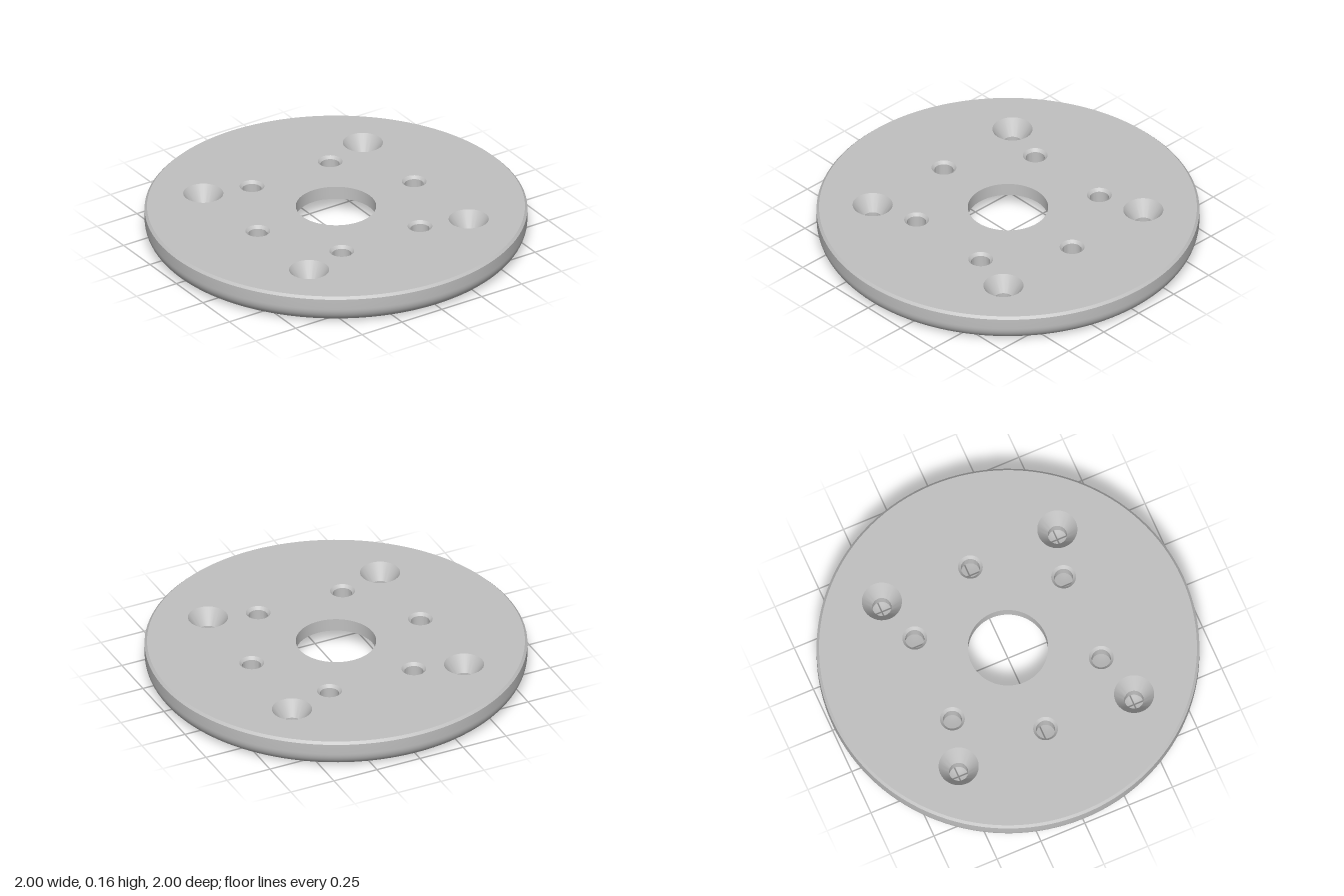
import * as THREE from 'three';
import { mergeGeometries, toCreasedNormals } from 'three/addons/utils/BufferGeometryUtils.js';

const HEIGHT = 0.16;
const RIM = 128; // segments of the big circles
const HOLE = 40; // segments of the small holes

// Regular polygon path with the same vertex order as a lathe
function polygon(radius, sides, [cx, cz] = [0, 0]) {
  const points = [];
  for (let i = 0; i < sides; i++) {
    const a = (i / sides) * Math.PI * 2;
    points.push(new THREE.Vector2(cx + radius * Math.sin(a), cz + radius * Math.cos(a)));
  }
  return points;
}

// Flat face with holes, facing up or down at height y
function plate(outline, holes, y, up) {
  const shape = new THREE.Shape(outline);
  shape.holes = holes.map((h) => new THREE.Path(h));
  return new THREE.ShapeGeometry(shape).rotateX(up ? -Math.PI / 2 : Math.PI / 2).translate(0, y, 0);
}

// Turned surface; an upward profile faces out, a downward one faces the axis
function turned(profile, sides, [x, z] = [0, 0]) {
  const points = profile.map(([r, y]) => new THREE.Vector2(r, y));
  return new THREE.LatheGeometry(points, sides).translate(x, 0, z);
}

export function createModel() {
  const group = new THREE.Group();
  const grey = new THREE.MeshStandardMaterial({ color: 0xc0c0c0 });
  grey.name = 'lightGrey';

  const add = (name, parts) => {
    const plain = parts.map((p) => (p.index ? p.toNonIndexed() : p));
    const mesh = new THREE.Mesh(toCreasedNormals(mergeGeometries(plain), 0.45), grey);
    mesh.name = name;
    group.add(mesh);
  };

  // Hole positions
  const screws = [[0.5, 0.5], [-0.5, 0.5], [0.5, -0.5], [-0.5, -0.5]];
  const bolts = [];
  for (let i = 0; i < 6; i++) {
    const a = (i * Math.PI) / 3;
    bolts.push([0.49 * Math.cos(a), 0.49 * Math.sin(a)]);
  }

  // Disc: flat faces, rounded lower edge, chamfered upper edge
  const fillet = 0.09;
  const side = [];
  for (let i = 0; i <= 12; i++) {
    const a = (i / 12) * (Math.PI / 2);
    side.push([1 - fillet + fillet * Math.sin(a), fillet - fillet * Math.cos(a)]);
  }
  side.push([1, HEIGHT - 0.013], [0.987, HEIGHT]);
  add('disc', [
    turned(side, RIM),
    plate(polygon(0.987, RIM), [
      polygon(0.21, RIM),
      ...screws.map((p) => polygon(0.105, HOLE, p)),
      ...bolts.map((p) => polygon(0.065, HOLE, p)),
    ], HEIGHT, true),
    plate(polygon(1 - fillet, RIM), [
      polygon(0.37, RIM),
      ...screws.map((p) => polygon(0.065, HOLE, p)),
      ...bolts.map((p) => polygon(0.095, 6, p)),
    ], 0, false),
  ]);

  // Central bore, widened from below
  add('centreBore', [turned([[0.21, HEIGHT], [0.21, 0.09], [0.37, 0.09], [0.37, 0]], RIM)]);

  // Countersunk screw holes
  screws.forEach((p, i) => add(`screwHole${i + 1}`, [
    turned([[0.105, HEIGHT], [0.05, 0.075], [0.05, 0.015], [0.065, 0]], HOLE, p),
  ]));

  // Bolt holes with hexagonal nut pockets underneath
  const pocket = 0.08;
  bolts.forEach((p, i) => add(`boltHole${i + 1}`, [
    turned([[0.065, HEIGHT], [0.05, HEIGHT - 0.015], [0.05, pocket]], HOLE, p),
    plate(polygon(0.095, 6, p), [polygon(0.05, HOLE, p)], pocket, false),
    turned([[0.095, pocket], [0.095, 0]], 6, p),
  ]));

  return group;
}
